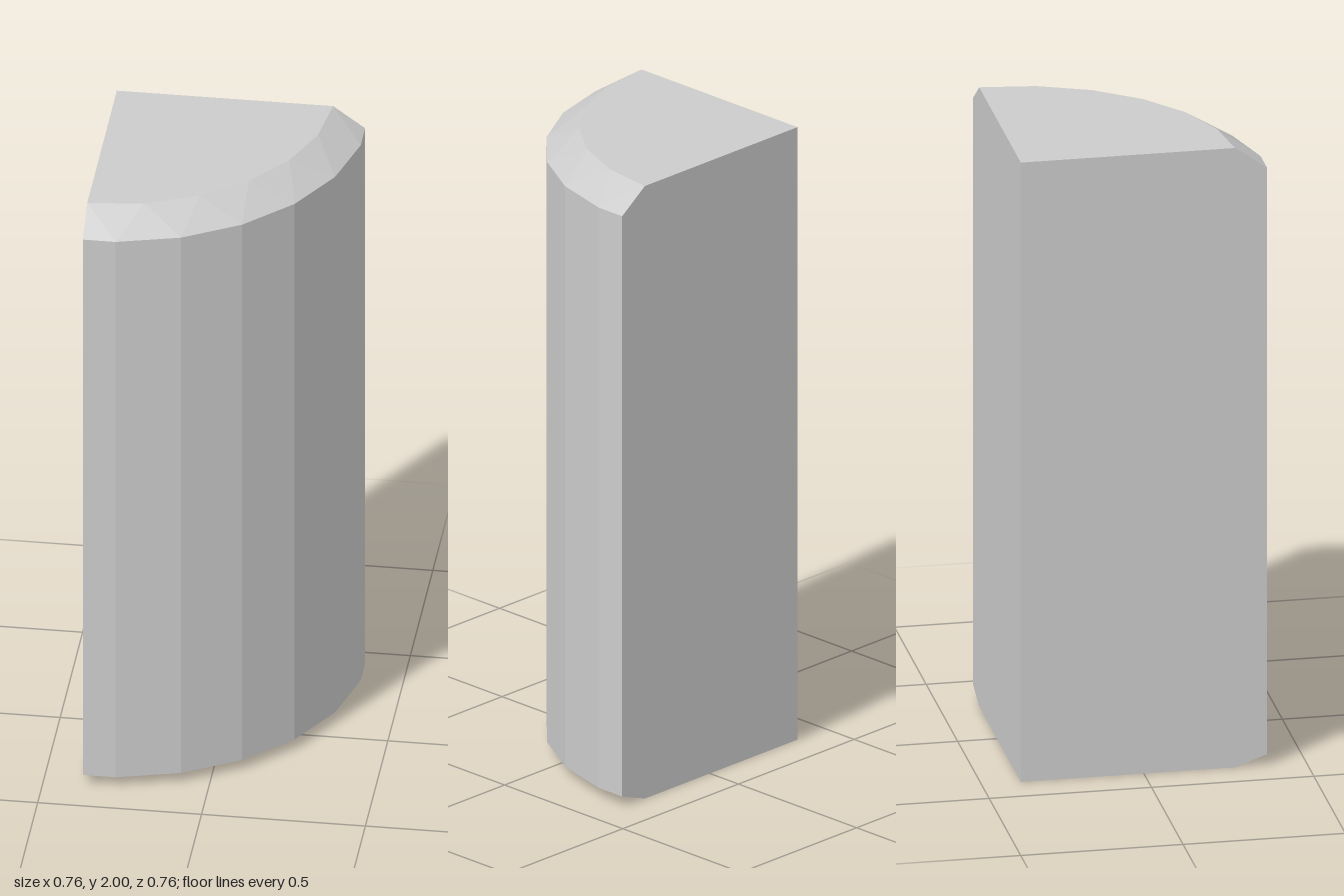
import * as THREE from 'three';
import { ConvexGeometry } from 'three/addons/geometries/ConvexGeometry.js';

const CORNER = -0.379; // x and z of the square back edge
const OUTER = 0.7645;
const INNER = 0.66;

// Quarter ring of points around the square edge, at the given angles in degrees
function quarterRing(y, angles, radiusAt) {
  return angles.map((deg) => {
    const a = THREE.MathUtils.degToRad(deg);
    const r = radiusAt(deg);
    return new THREE.Vector3(CORNER + r * Math.cos(a), y, CORNER + r * Math.sin(a));
  });
}

export function createModel() {
  const group = new THREE.Group();
  group.name = 'quarterRoundPost';

  // Wall facets turn at 7.5, 22.5 ... 82.5 degrees; the end facets are cut in half
  const wallAngles = [0, 7.5, 22.5, 37.5, 52.5, 67.5, 82.5, 90];
  const halfFacet = OUTER * Math.cos(THREE.MathUtils.degToRad(7.5));
  const wallRadius = (deg) => (deg % 90 === 0 ? halfFacet : OUTER);

  // The cap edges are offset by half a facet, giving a triangulated chamfer
  const capAngles = [0, 15, 30, 45, 60, 75, 90];
  const capRadius = () => INNER;

  const points = [
    new THREE.Vector3(CORNER, 0, CORNER),
    new THREE.Vector3(CORNER, 2, CORNER),
    ...quarterRing(0, capAngles, capRadius),
    ...quarterRing(0.035, wallAngles, wallRadius),
    ...quarterRing(1.93, wallAngles, wallRadius),
    ...quarterRing(2, capAngles, capRadius),
  ];

  // Solid post: two flat sides, faceted round side, chamfered top and bottom
  const post = new THREE.Mesh(
    new ConvexGeometry(points),
    new THREE.MeshStandardMaterial({ color: 0xcccccc, flatShading: true })
  );
  post.name = 'post';
  group.add(post);
  return group;
}
